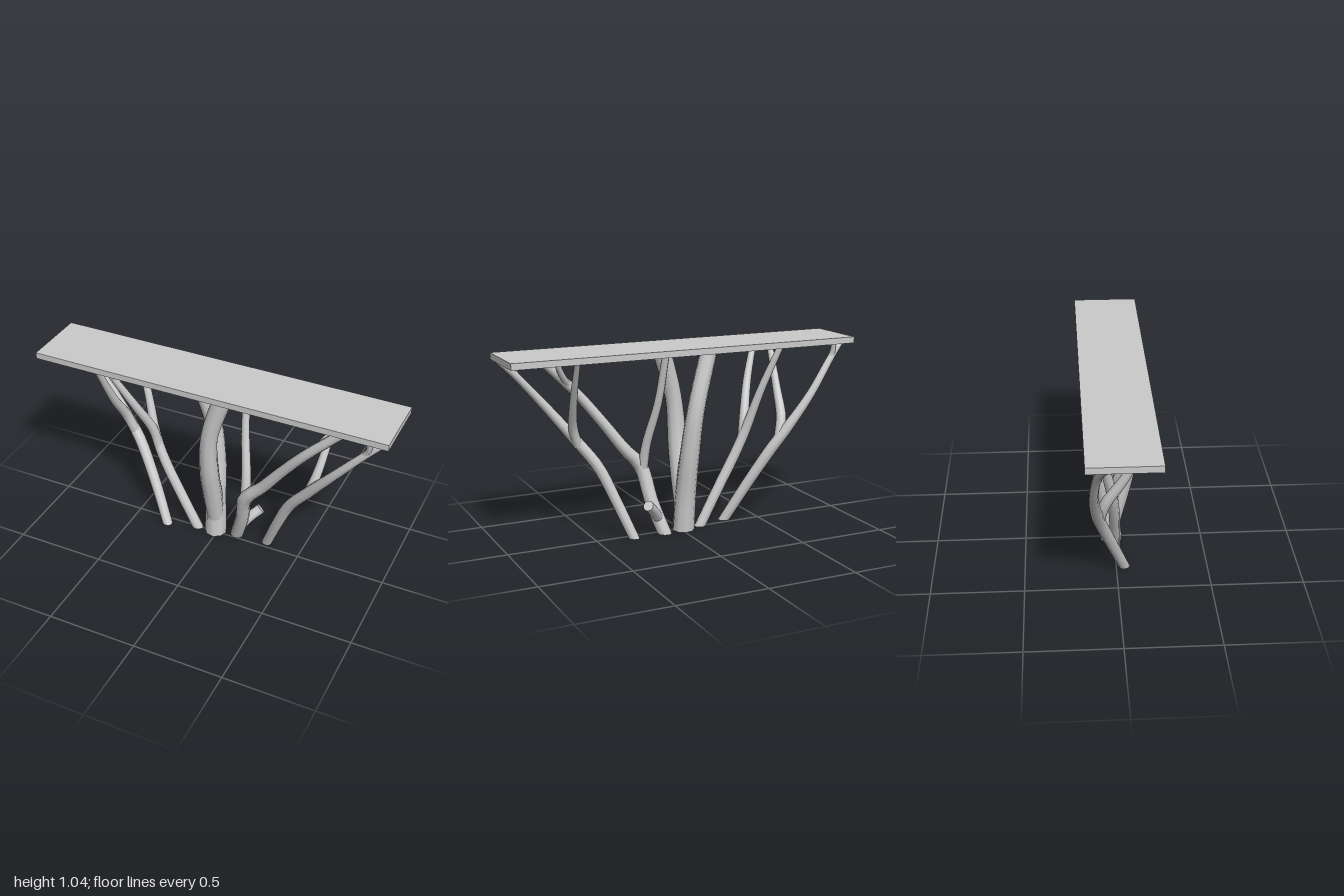
import * as THREE from 'three';

const TOP = 1.01;   // underside of the board
const SIDES = 9;
const material = new THREE.MeshStandardMaterial({ color: 0xcccccc });
const capMaterial = new THREE.MeshStandardMaterial({ color: 0xcccccc, side: THREE.DoubleSide });

// Tapered limb through points [x, y, z, radius]; ends on the floor or board are cut level.
function limb(name, points) {
  const curve = new THREE.CatmullRomCurve3(
    points.map(([x, y, z]) => new THREE.Vector3(x, y, z)), false, 'centripetal');
  const steps = (points.length - 1) * 4;
  const geometry = new THREE.TubeGeometry(curve, steps, 1, SIDES, false);
  const pos = geometry.attributes.position;
  const v = new THREE.Vector3();
  const caps = [];

  for (let i = 0; i <= steps; i++) {
    const u = i / steps;
    const centre = curve.getPointAt(u);
    const tangent = curve.getTangentAt(u);
    const f = curve.getUtoTmapping(u) * (points.length - 1);
    const k = Math.min(Math.floor(f), points.length - 2);
    const radius = THREE.MathUtils.lerp(points[k][3], points[k + 1][3], f - k);
    const isEnd = i === 0 || i === steps;
    const level = isEnd && (centre.y < 0.001 || centre.y > TOP - 0.001);
    const ring = [];
    for (let j = 0; j <= SIDES; j++) {
      const index = i * (SIDES + 1) + j;
      v.fromBufferAttribute(pos, index).sub(centre).multiplyScalar(radius).add(centre);
      // slide the end ring along the limb onto a level plane
      if (level) v.addScaledVector(tangent, (centre.y - v.y) / tangent.y);
      // keep neighbouring rings inside the floor and board
      v.y = THREE.MathUtils.clamp(v.y, 0, TOP + 0.005);
      pos.setXYZ(index, v.x, v.y, v.z);
      ring.push(v.clone());
    }
    if (isEnd) caps.push({ centre, ring });
  }

  const group = new THREE.Group();
  group.name = name;
  group.add(new THREE.Mesh(geometry, material));

  // flat end cuts
  for (const { centre, ring } of caps) {
    const corners = [];
    for (let j = 0; j < SIDES; j++) corners.push(centre, ring[j], ring[j + 1]);
    const cap = new THREE.BufferGeometry().setFromPoints(corners);
    cap.computeVertexNormals();
    group.add(new THREE.Mesh(cap, capMaterial));
  }
  group.children.forEach((mesh) => { mesh.name = name; });
  return group;
}

export function createModel() {
  const model = new THREE.Group();
  model.name = 'branchConsoleTable';

  // board
  const board = new THREE.Mesh(new THREE.BoxGeometry(2, 0.035, 0.365), material);
  board.name = 'tabletop';
  board.position.y = TOP + 0.0175;
  model.add(board);

  const limbs = {
    // central trunk and its front fork
    trunk: [[-0.015, 0, -0.015, 0.063], [-0.02, 0.2, -0.03, 0.06], [-0.03, 0.45, -0.065, 0.055],
      [-0.06, 0.7, -0.08, 0.049], [-0.15, TOP, -0.05, 0.047]],
    trunkFork: [[-0.015, 0.12, -0.01, 0.05], [-0.015, 0.3, 0.03, 0.057], [-0.015, 0.48, 0.07, 0.055],
      [-0.003, 0.73, 0.09, 0.047], [0.075, TOP, 0.08, 0.052]],

    // left inner leg with side branch, tip and sawn stub
    leftInnerLeg: [[0.11, 0, -0.035, 0.038], [0.165, 0.18, 0.02, 0.039], [0.205, 0.37, 0.07, 0.04],
      [0.3, 0.48, 0.08, 0.034], [0.42, 0.64, 0.1, 0.03], [0.55, 0.8, 0.12, 0.028],
      [0.76, TOP, 0.115, 0.025]],
    leftInnerBranch: [[0.2, 0.36, 0.06, 0.03], [0.19, 0.5, 0.03, 0.027], [0.15, 0.74, -0.04, 0.023],
      [0.13, TOP, -0.1, 0.02]],
    leftInnerTwig: [[0.59, 0.84, 0.12, 0.018], [0.65, 0.92, 0.08, 0.017], [0.69, TOP, 0.05, 0.015]],
    sawnStub: [[0.135, 0.08, -0.01, 0.03], [0.18, 0.14, -0.05, 0.03], [0.232, 0.19, -0.09, 0.03]],

    // left outer leg
    leftOuterLeg: [[0.295, 0, -0.04, 0.028], [0.38, 0.22, 0.02, 0.03], [0.46, 0.4, 0.06, 0.032],
      [0.57, 0.55, 0.1, 0.031], [0.73, 0.75, 0.135, 0.025], [0.89, 0.93, 0.13, 0.02],
      [0.98, TOP, 0.11, 0.014]],
    leftOuterBranch: [[0.56, 0.52, 0.09, 0.026], [0.595, 0.62, 0.07, 0.026], [0.62, 0.78, -0.01, 0.021],
      [0.638, TOP, -0.135, 0.015]],
    leftOuterTwig: [[0.86, 0.9, 0.13, 0.017], [0.89, 0.95, 0.14, 0.016], [0.895, TOP, 0.155, 0.014]],

    // right inner leg and its front fork
    rightInnerLeg: [[-0.125, 0, 0, 0.03], [-0.23, 0.2, -0.005, 0.03], [-0.33, 0.39, -0.015, 0.03],
      [-0.39, 0.53, -0.03, 0.029], [-0.46, 0.77, -0.08, 0.023], [-0.545, TOP, -0.135, 0.018]],
    rightInnerBranch: [[-0.375, 0.48, -0.02, 0.024], [-0.395, 0.6, -0.005, 0.028],
      [-0.46, 0.8, 0.08, 0.024], [-0.545, TOP, 0.16, 0.018]],

    // right outer leg
    rightOuterLeg: [[-0.3, 0, 0.045, 0.029], [-0.4, 0.2, -0.02, 0.031], [-0.53, 0.43, -0.09, 0.033],
      [-0.61, 0.54, -0.115, 0.031], [-0.75, 0.73, -0.135, 0.024], [-0.9, 0.94, -0.115, 0.02],
      [-0.98, TOP, -0.085, 0.014]],
    rightOuterBranch: [[-0.57, 0.49, -0.1, 0.028], [-0.6, 0.6, -0.07, 0.03], [-0.62, 0.75, 0.02, 0.025],
      [-0.638, TOP, 0.15, 0.017]],
    rightOuterTwig: [[-0.87, 0.9, -0.115, 0.017], [-0.895, 0.95, -0.12, 0.016], [-0.9, TOP, -0.13, 0.014]],
  };
  for (const [name, points] of Object.entries(limbs)) model.add(limb(name, points));

  return model;
}
